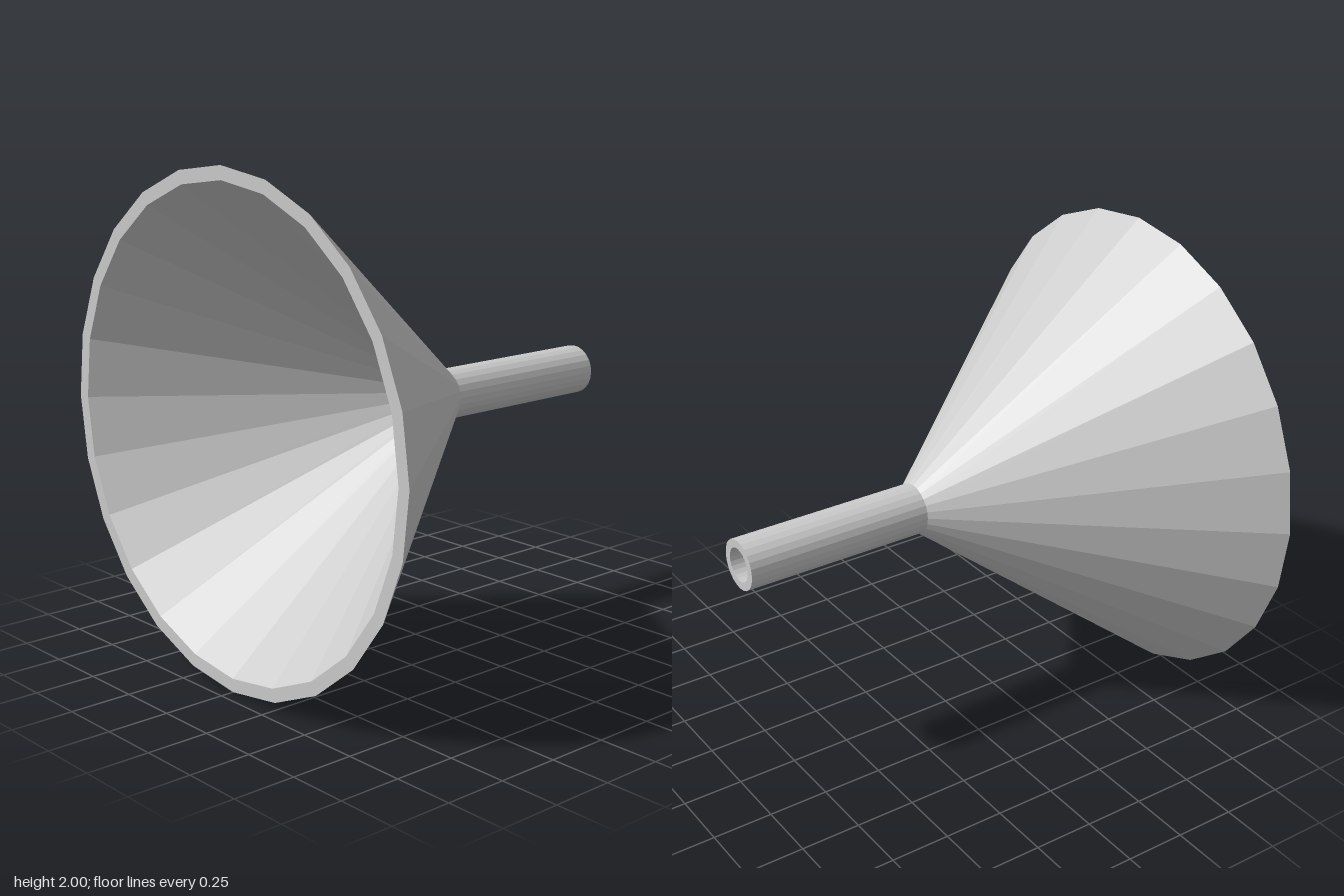
import * as THREE from 'three';

const SIDES = 24;

// Revolve a [radius, z] profile around the z axis, faceted
function revolve(name, profile, material) {
  const geometry = new THREE.LatheGeometry(profile.map(([r, z]) => new THREE.Vector2(r, z)), SIDES);
  geometry.rotateX(Math.PI / 2);
  const mesh = new THREE.Mesh(geometry, material);
  mesh.name = name;
  mesh.position.y = 1;
  return mesh;
}

export function createModel() {
  const group = new THREE.Group();
  group.name = 'funnel';
  const material = new THREE.MeshStandardMaterial({ color: 0xcccccc, flatShading: true });

  const front = 0.945, back = -0.945;
  const neckOuter = [0.104, -0.155], neckInner = [0.07, -0.13];

  // Cone: outer wall, flat rim, inner wall
  group.add(revolve('cone', [neckOuter, [1, front], [0.946, front], neckInner], material));

  // Spout: bore, end ring, outer wall
  group.add(revolve('spout', [neckInner, [0.07, back], [0.104, back], neckOuter], material));

  return group;
}
